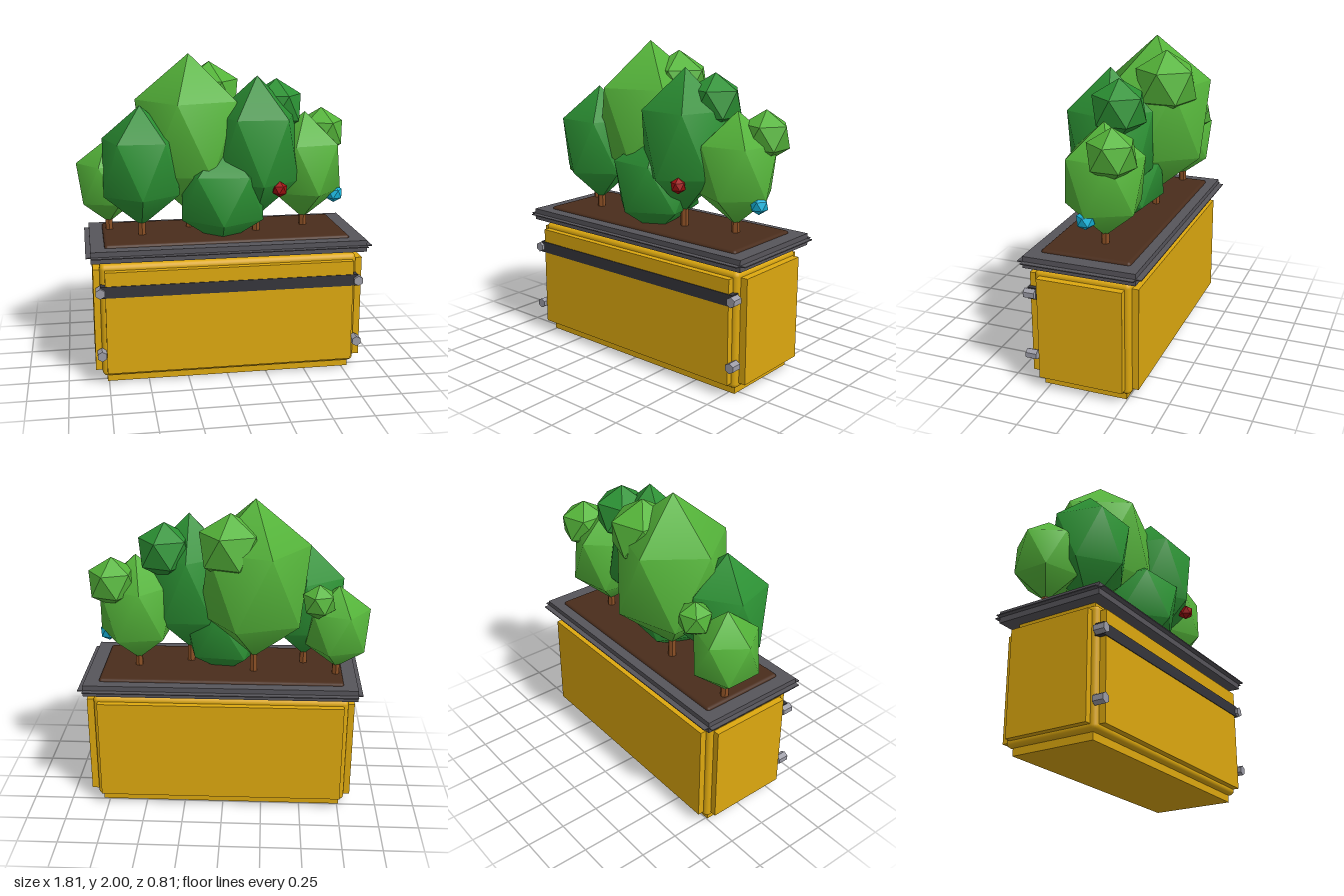
import * as THREE from 'three';
import { toCreasedNormals } from 'three/addons/utils/BufferGeometryUtils.js';
import { RoundedBoxGeometry } from 'three/addons/geometries/RoundedBoxGeometry.js';

const paint = (color, flatShading = false) => new THREE.MeshStandardMaterial({ color, flatShading });
const gold = paint(0xdda80f), rimGrey = paint(0x57555b), soilBrown = paint(0x4a2d1c);
const stripDark = paint(0x35353b), steel = paint(0x9c9ca6, true), bark = paint(0x8a4f24, true);
const leafLight = paint(0x55b53a), leafDark = paint(0x2c9234);
const cyan = paint(0x16b8e0), red = paint(0xa01010);

function add(group, name, geometry, material, x = 0, y = 0, z = 0) {
  const mesh = new THREE.Mesh(geometry, material);
  mesh.name = name;
  mesh.position.set(x, y, z);
  group.add(mesh);
  return mesh;
}

// Box given by its limits on each axis; a bevel gives it cut edges
function box(group, name, material, [x0, x1], [y0, y1], [z0, z1], bevel = 0) {
  const size = [x1 - x0, y1 - y0, z1 - z0];
  const geometry = bevel ? new RoundedBoxGeometry(...size, 2, bevel) : new THREE.BoxGeometry(...size);
  return add(group, name, geometry, material, (x0 + x1) / 2, (y0 + y1) / 2, (z0 + z1) / 2);
}

// Icosahedron standing on a point, stretched to a width and a height
function blob(group, name, material, [x, y, z], r, ry = r, turn = 0) {
  const geometry = new THREE.IcosahedronGeometry(1, 0);
  geometry.rotateX(-Math.atan((1 + Math.sqrt(5)) / 2));
  geometry.rotateY(Math.PI / 2 + turn);
  geometry.scale(r, ry, r);
  const stretched = ry > r;
  return add(group, name, toCreasedNormals(geometry, stretched ? 0.75 : 0.2), material, x, y, z);
}

export function createModel() {
  const model = new THREE.Group();
  model.name = 'planter';

  // Tub: a bevelled core with raised panels on all six faces
  const tub = new THREE.Group();
  tub.name = 'tub';
  model.add(tub);
  const px = [-0.76, 0.79], py = [0.08, 0.735], pz = [-0.245, 0.29];
  box(tub, 'tubCore', gold, [-0.79, 0.82], [0.045, 0.77], [-0.28, 0.325], 0.03);
  box(tub, 'topBottomPanels', gold, px, [0, 0.8], pz);
  box(tub, 'sidePanels', gold, [-0.83, 0.865], py, pz);
  box(tub, 'frontBackPanels', gold, px, py, [-0.32, 0.365]);

  // Rim with thin lips around it, and the soil
  const rim = new THREE.Group();
  rim.name = 'rim';
  model.add(rim);
  const rx = [-0.84, 0.87], rz = [-0.33, 0.37], lip = [0.83, 0.836];
  box(rim, 'rimBlock', rimGrey, rx, [0.795, 0.868], rz);
  box(rim, 'sideLips', rimGrey, [-0.87, 0.903], lip, rz);
  box(rim, 'frontBackLips', rimGrey, rx, lip, [-0.365, 0.403]);
  box(model, 'soil', soilBrown, [-0.755, 0.78], [0.82, 0.885], [-0.265, 0.297], 0.02);

  // Front strip and four hexagonal bolts
  box(model, 'frontStrip', stripDark, [-0.79, 0.82], [0.575, 0.648], [0.31, 0.37]);
  for (const x of [-0.79, 0.82]) {
    for (const y of [0.205, 0.61]) {
      const geometry = new THREE.CylinderGeometry(0.032, 0.032, 0.07, 6).rotateX(Math.PI / 2);
      add(model, 'bolt', geometry, steel, x, y, 0.353);
    }
  }

  // Trees: crown centre, radius, half height, turn, and an optional small side crown
  const trees = [
    { at: [-0.19, 1.49, -0.08], r: 0.38, h: 0.51, turn: Math.PI, mat: leafLight, side: [-0.045, 1.73, -0.19, 0.21] },
    { at: [-0.51, 1.32, 0.065], r: 0.275, h: 0.38, turn: 2.8, mat: leafDark },
    { at: [-0.71, 1.2, -0.1], r: 0.22, h: 0.27, turn: Math.PI, mat: leafLight, side: [-0.58, 1.41, -0.23, 0.11] },
    { at: [0.22, 1.42, 0.07], r: 0.3, h: 0.45, turn: 0.3, mat: leafDark, side: [0.365, 1.66, -0.04, 0.18] },
    { at: [0.55, 1.28, -0.02], r: 0.27, h: 0.35, turn: 0.5, mat: leafLight, side: [0.685, 1.48, -0.12, 0.16] },
    { at: [0, 1.13, 0.08], r: 0.3, h: 0.33, turn: 0.2, mat: leafDark },
  ];
  for (const { at, r, h, turn, mat, side } of trees) {
    const tree = new THREE.Group();
    tree.name = 'tree';
    model.add(tree);
    const height = at[1] - 0.84;
    add(tree, 'trunk', new THREE.CylinderGeometry(0.023, 0.026, height, 6), bark, at[0], 0.84 + height / 2, at[2]);
    blob(tree, 'crown', mat, at, r, h, turn);
    if (side) blob(tree, 'sideCrown', mat, side.slice(0, 3), side[3]);
  }

  // Small fruits
  blob(model, 'blueFruit', cyan, [0.745, 1.095, 0.02], 0.06);
  blob(model, 'redFruit', red, [0.33, 1.19, 0.265], 0.05);
  return model;
}
